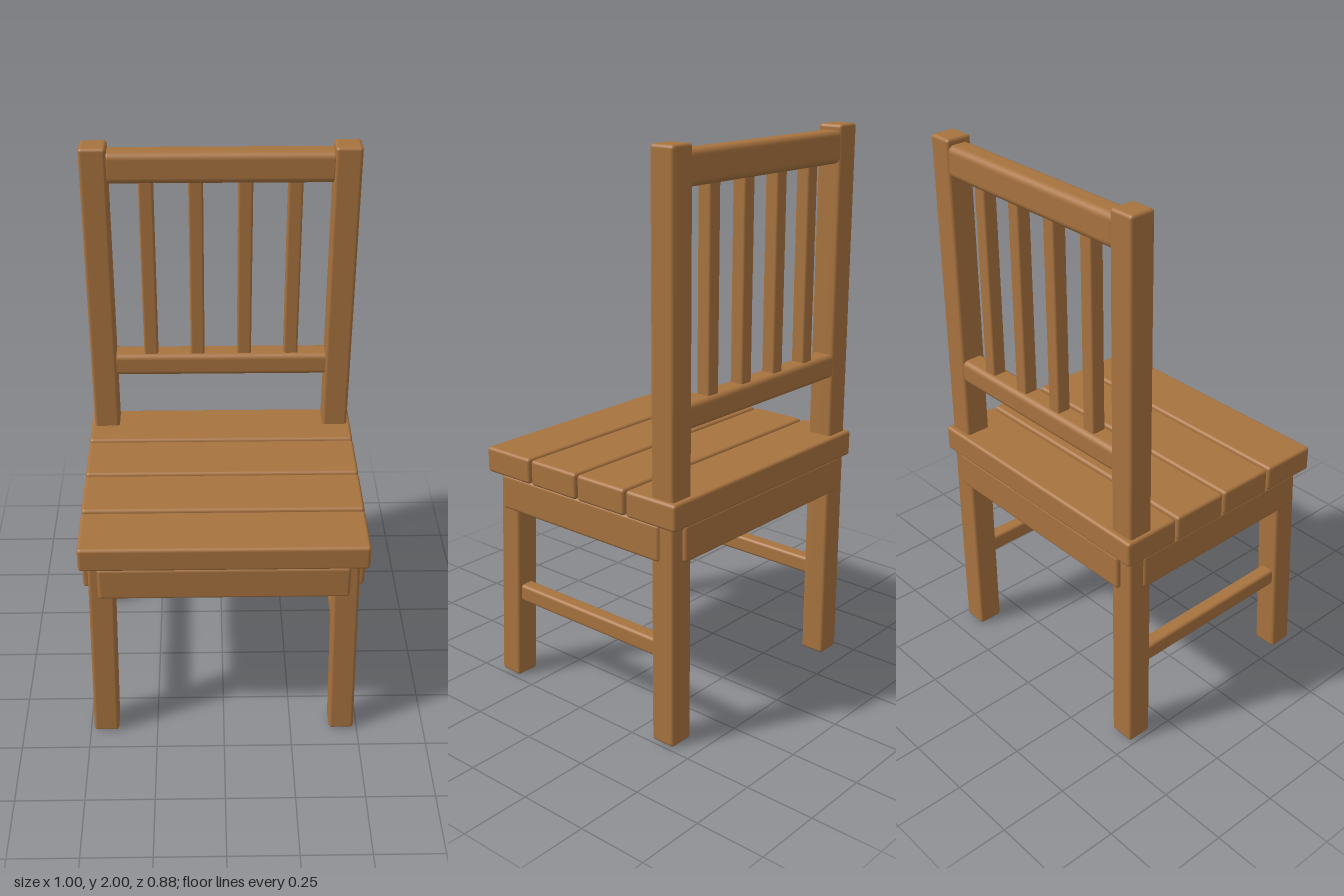
import * as THREE from 'three';
import { RoundedBoxGeometry } from 'three/addons/geometries/RoundedBoxGeometry.js';

const wood = new THREE.MeshStandardMaterial({ name: 'warm wood', color: 0xa8733f });

export function createModel() {
  const chair = new THREE.Group();
  chair.name = 'chair';

  // Board with softened edges, given by its min and max on each axis
  function board(name, [x0, x1], [y0, y1], [z0, z1], radius = 0.012) {
    const geometry = new RoundedBoxGeometry(x1 - x0, y1 - y0, z1 - z0, 3, radius);
    const mesh = new THREE.Mesh(geometry, wood);
    mesh.name = name;
    mesh.position.set((x0 + x1) / 2, (y0 + y1) / 2, (z0 + z1) / 2);
    chair.add(mesh);
    return mesh;
  }

  // Seat planks
  const planks = [[0.225, 0.44], [0.001, 0.216], [-0.221, -0.007], [-0.443, -0.229]];
  planks.forEach((z, i) => board(`seatPlank${i + 1}`, [-0.5, 0.5], [0.79, 0.884], z));

  // Aprons across the front and back
  board('frontApron', [-0.437, 0.437], [0.665, 0.795], [0.372, 0.438]);
  board('backApron', [-0.437, 0.437], [0.665, 0.795], [-0.438, -0.372]);

  for (const [side, s] of [['left', 1], ['right', -1]]) {
    const span = (a, b) => (s > 0 ? [a, b] : [-b, -a]);

    // Back post, running from floor to top
    board(`${side}BackPost`, span(0.391, 0.486), [0, 2], [-0.423, -0.329]);

    // Front leg, splayed outward and forward
    const foot = new THREE.Vector3(s * 0.441, 0.002, 0.376);
    const top = new THREE.Vector3(s * 0.425, 0.793, 0.356);
    const axis = top.clone().sub(foot);
    const leg = board(`${side}FrontLeg`, [-0.046, 0.046], [0, axis.length()], [-0.045, 0.045]);
    leg.position.copy(foot).add(top).multiplyScalar(0.5);
    leg.quaternion.setFromUnitVectors(new THREE.Vector3(0, 1, 0), axis.normalize());

    // Side apron and stretcher
    board(`${side}Apron`, span(0.426, 0.494), [0.665, 0.795], [-0.367, 0.372]);
    board(`${side}Stretcher`, span(0.41, 0.465), [0.302, 0.366], [-0.34, 0.34]);
  }

  // Back rails, rounded more strongly than the other parts
  board('topRail', [-0.41, 0.41], [1.867, 1.98], [-0.421, -0.335], 0.024);
  board('lowerRail', [-0.41, 0.41], [1.103, 1.19], [-0.421, -0.335], 0.02);

  // Back spindles
  for (let i = 0; i < 4; i++) {
    const x = -0.261 + i * 0.174;
    board(`spindle${i + 1}`, [x - 0.026, x + 0.026], [1.18, 1.88], [-0.404, -0.352], 0.008);
  }

  return chair;
}
